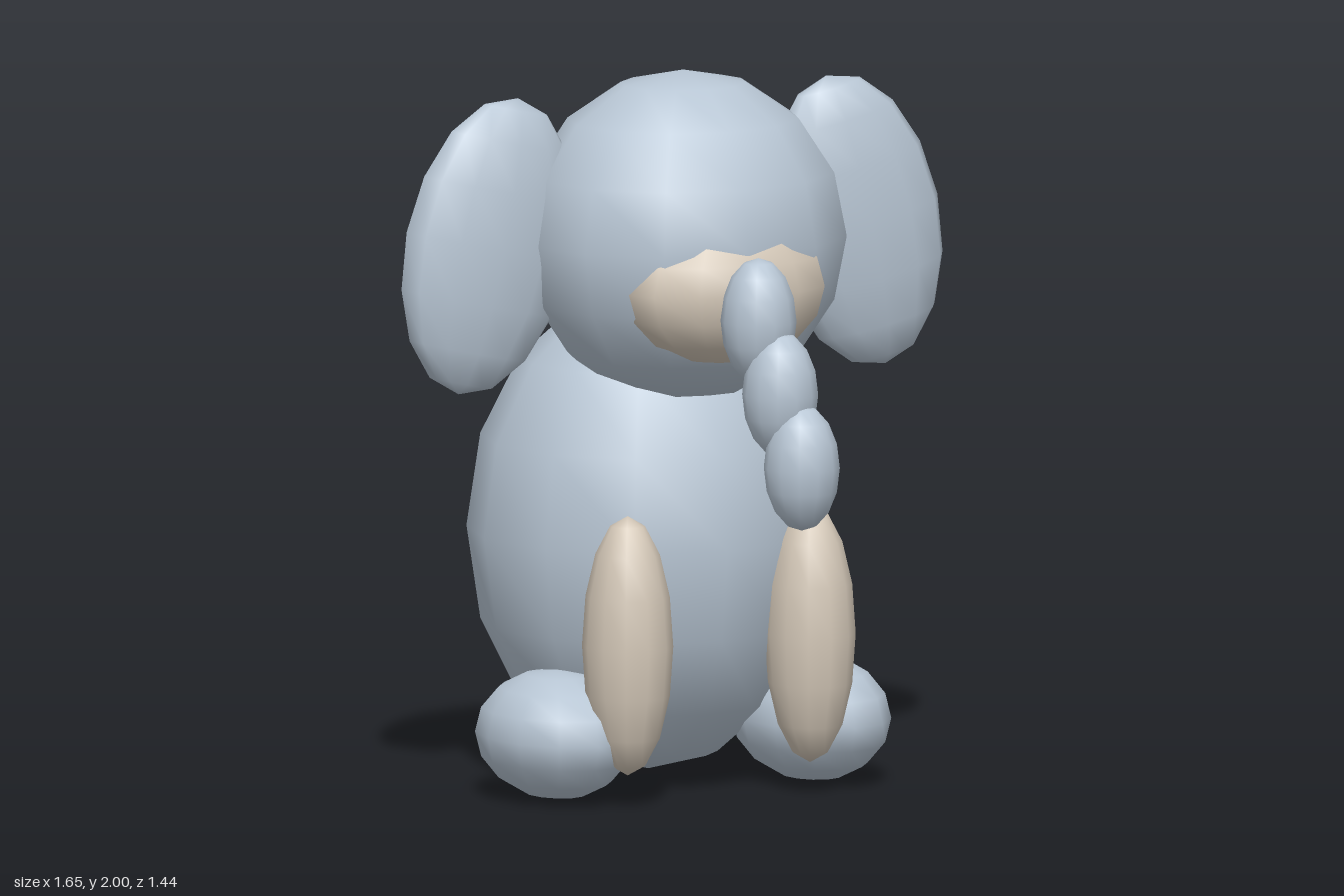
import * as THREE from 'three';

export function createModel() {
  const model = new THREE.Group();
  model.name = 'sittingElephant';

  const skin = new THREE.MeshStandardMaterial({ color: 0xb8c6d4 });
  skin.name = 'blueGrey';
  const cream = new THREE.MeshStandardMaterial({ color: 0xd4c8b8 });
  cream.name = 'cream';

  // Every part is a stretched, smooth, low-poly ball
  const ball = new THREE.SphereGeometry(1, 12, 8);
  function blob(name, material, position, radii, tilt = 0) {
    const mesh = new THREE.Mesh(ball, material);
    mesh.name = name;
    mesh.position.set(...position);
    mesh.scale.set(...radii);
    mesh.rotation.z = tilt;
    model.add(mesh);
  }

  // Body, head and muzzle
  blob('body', skin, [0, 0.7, -0.22], [0.5, 0.67, 0.5]);
  blob('head', skin, [0, 1.54, 0], [0.46, 0.46, 0.415]);
  blob('muzzle', cream, [0, 1.43, 0.265], [0.3, 0.21, 0.18]);

  // Trunk, drooping forward and slightly to its left
  for (let i = 0; i < 3; i++) {
    blob('trunkSegment' + (i + 1), skin,
      [0.033 * i, 1.367 - 0.196 * i, 0.475 + 0.068 * i],
      [0.104, 0.175, 0.107]);
  }

  // Paired ears, arms and feet
  for (const [side, s] of [['left', 1], ['right', -1]]) {
    blob(side + 'Ear', skin, [s * 0.56, 1.537, -0.07], [0.255, 0.415, 0.107], s * 0.22);
    blob(side + 'Arm', cream, [s * 0.278, 0.45, 0.225], [0.123, 0.36, 0.135]);
    blob(side + 'Foot', skin, [s * 0.39, 0.182, 0], [0.205, 0.178, 0.277]);
  }

  return model;
}
